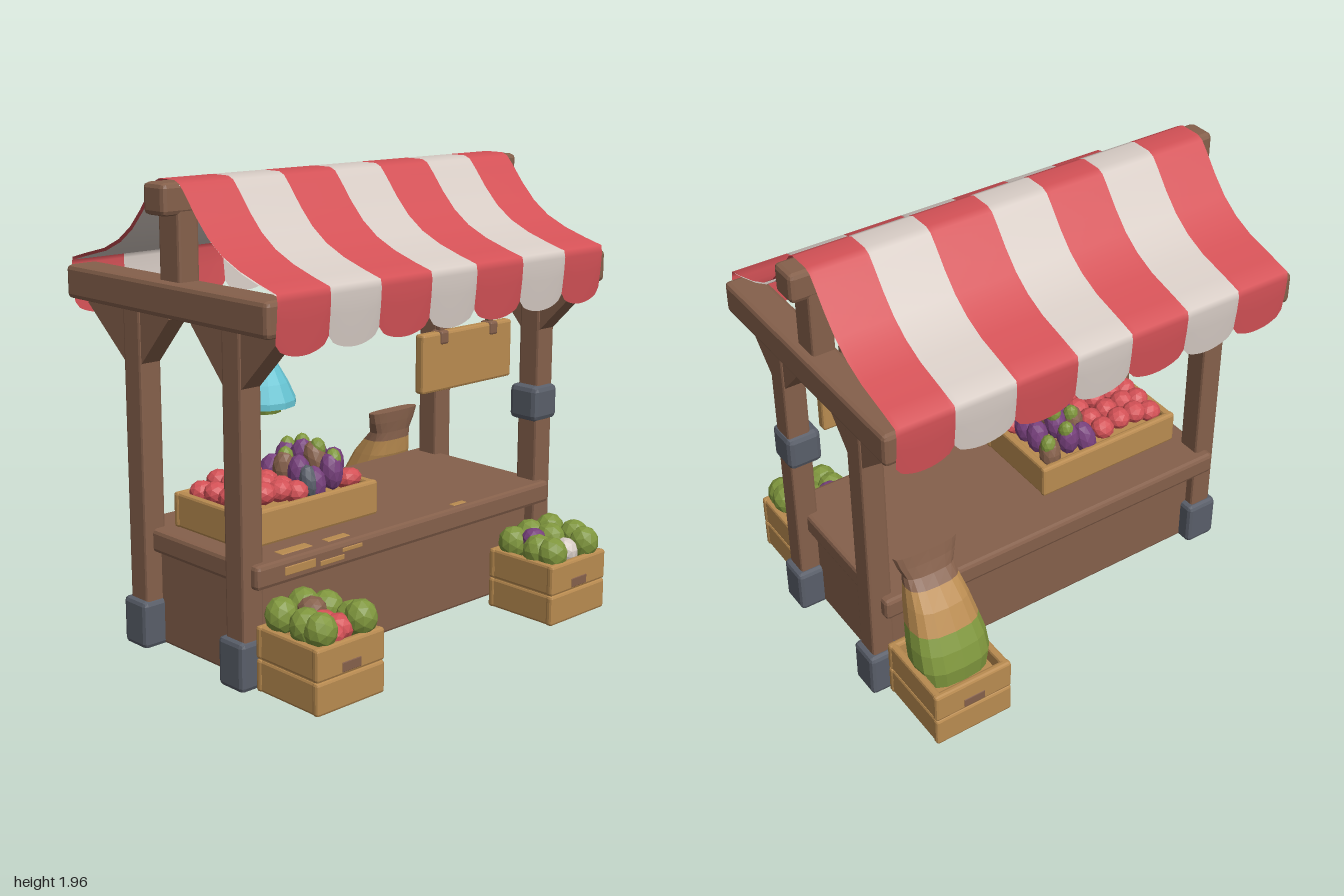
import * as THREE from 'three';
import { RoundedBoxGeometry } from 'three/addons/geometries/RoundedBoxGeometry.js';

const mat = (name, color, extra = {}) => Object.assign(new THREE.MeshStandardMaterial({ color, ...extra }), { name });

export function createModel() {
  const root = new THREE.Group();
  root.name = 'marketStall';
  const both = { side: THREE.DoubleSide };
  const wood = mat('brown wood', 0x85604b, both);
  const tan = mat('tan wood', 0xb98b50, both);
  const red = mat('red cloth', 0xd35156, both);
  const cream = mat('cream cloth', 0xd6cbc4, both);
  const iron = mat('dark iron', 0x595e69);
  const teal = mat('teal enamel', 0x68c6d5, both);
  const green = mat('leaf green', 0x7f963d, both);
  const purple = mat('aubergine purple', 0x77407c);

  const add = (name, geo, material, parent = root) => {
    const m = new THREE.Mesh(geo, material);
    m.name = name;
    parent.add(m);
    return m;
  };
  const flat = (geo) => {
    const g = geo.index ? geo.toNonIndexed() : geo;
    g.computeVertexNormals();
    return g;
  };
  // Chamfered box given by its extents
  const box = (name, material, x0, x1, y0, y1, z0, z1, r = 0.012, parent = root) => {
    const geo = flat(new RoundedBoxGeometry(x1 - x0, y1 - y0, z1 - z0, 1, r));
    const m = add(name, geo, material, parent);
    m.position.set((x0 + x1) / 2, (y0 + y1) / 2, (z0 + z1) / 2);
    return m;
  };
  // Small seeded generator for the produce
  let seed = 7;
  const rnd = () => (seed = (seed * 16807) % 2147483647) / 2147483647;

  // Counter
  box('counterBody', wood, -0.83, 0.82, 0.005, 0.42, -0.3, 0.33);
  box('counterTop', wood, -0.87, 0.86, 0.41, 0.51, -0.39, 0.425, 0.018);
  for (const [x, y, w, h] of [[-0.65, 0.462, 0.16, 0.036], [-0.48, 0.45, 0.13, 0.022], [-0.37, 0.478, 0.11, 0.018]])
    box('wornPatch', tan, x - w / 2, x + w / 2, y - h / 2, y + h / 2, 0.42, 0.428, 0.003);
  for (const [x, z, w, d] of [[-0.62, 0.35, 0.16, 0.05], [-0.4, 0.36, 0.12, 0.04], [0.3, 0.38, 0.08, 0.03]])
    box('wornPatch', tan, x - w / 2, x + w / 2, 0.506, 0.513, z - d / 2, z + d / 2, 0.003);

  // Timber frame: posts, iron feet, gusset braces, gable beams, king posts
  const gusset = (z, inner, outer) => {
    const s = new THREE.Shape([[z - 0.05, 1.2], [z + 0.05, 1.2], [outer, 1.41], [outer, 1.45], [inner, 1.45], [inner, 1.41]]
      .map(([a, b]) => new THREE.Vector2(-a, b)));
    const g = new THREE.ExtrudeGeometry(s, { depth: 0.09, bevelEnabled: false });
    g.rotateY(Math.PI / 2);
    return g;
  };
  for (const s of [-1, 1]) {
    for (const z of [0.33, -0.29]) {
      const cx = s * 0.857;
      box('post', wood, cx - 0.052, cx + 0.052, 0.01, 1.46, z - 0.056, z + 0.056);
      box('postFoot', iron, cx - 0.075, cx + 0.078, 0, 0.205, z - 0.08, z + 0.068, 0.02);
      const span = z > 0 ? [0.09, 0.59] : [-0.59, -0.05];
      add('brace', gusset(z, span[0], span[1]), wood).position.x = cx - 0.045;
    }
    box('gableBeam', wood, s * 0.895 - 0.075, s * 0.895 + 0.075, 1.43, 1.57, -0.645, 0.612, 0.02);
    box('kingPost', wood, s * 0.88 - 0.05, s * 0.88 + 0.05, 1.55, 1.9, -0.065, 0.062);
  }
  box('ridgeBeam', wood, -1, 1, 1.825, 1.95, -0.066, 0.064, 0.02);
  box('postCollar', iron, 0.765, 0.92, 0.79, 0.95, 0.255, 0.41, 0.025);

  // Striped awning: a profile from front hem over the ridge to the rear hem
  const half = [[0.612, 1.41], [0.622, 1.5], [0.626, 1.565], [0.62, 1.595], [0.53, 1.62], [0.42, 1.655], [0.32, 1.7],
    [0.24, 1.757], [0.17, 1.83], [0.11, 1.905], [0.075, 1.945], [0.045, 1.958]];
  const profile = [...half, ...half.map(([z, y]) => [-z - (z > 0.5 ? 0.032 : 0.005), y]).reverse()];
  const sheet = (pts, x0, x1, hem, drop) => {
    const n = pts.length - 1;
    const g = new THREE.PlaneGeometry(1, 1, 12, n);
    const p = g.attributes.position;
    for (let i = 0; i < p.count; i++) {
      const u = p.getX(i) + 0.5;
      const j = Math.round((p.getY(i) + 0.5) * n);
      let [z, y] = pts[j];
      const end = Math.min(j, n - j);
      if (hem && end < 2) y -= (end === 0 ? 0.056 : 0.02) * Math.sqrt(Math.sin(Math.PI * Math.min(Math.max(u, 0), 1)) + 1e-6);
      p.setXYZ(i, x0 + (x1 - x0) * u, y - drop, z);
    }
    g.computeVertexNormals();
    return g;
  };
  const edges = [-0.93, -0.67, -0.41, -0.135, 0.125, 0.405, 0.675, 0.925];
  for (let i = 0; i < 7; i++)
    add('awningStripe', sheet(profile, edges[i], edges[i + 1], true, 0), i % 2 ? cream : red);
  add('awningLining', sheet(profile.slice(3, -3), -0.92, 0.915, false, 0.012), cream);

  // Hanging lamp
  const lamp = new THREE.Group();
  lamp.name = 'hangingLamp';
  lamp.position.set(-0.5, 0, 0.04);
  root.add(lamp);
  const shade = [[0.132, 1.025], [0.132, 1.05], [0.1, 1.12], [0.06, 1.19], [0.045, 1.225], [0.0, 1.235]];
  add('lampShade', flat(new THREE.LatheGeometry(shade.map(([r, y]) => new THREE.Vector2(r, y)), 12)), teal, lamp);
  add('lampBulb', flat(new THREE.CylinderGeometry(0.085, 0.07, 0.05, 10)), green, lamp).position.y = 1.02;
  add('lampRod', flat(new THREE.CylinderGeometry(0.014, 0.022, 0.15, 6)), iron, lamp).position.y = 1.29;

  // Hanging sign board
  box('signBoard', tan, 0.21, 0.78, 0.98, 1.24, 0.2, 0.25, 0.012);
  for (const x of [0.34, 0.655]) {
    box('signStrap', wood, x - 0.013, x + 0.013, 1.2, 1.35, 0.21, 0.24, 0.006);
    box('signClasp', wood, x - 0.025, x + 0.025, 1.185, 1.245, 0.193, 0.257, 0.01);
  }

  // Open crates made of two courses of slats
  const crate = (name, x0, x1, y0, h, z0, z1, courses, handle) => {
    const g = new THREE.Group();
    g.name = name;
    root.add(g);
    const t = 0.035;
    for (let i = 0; i < courses; i++) {
      const a = y0 + (h * i) / courses, b = y0 + (h * (i + 1)) / courses;
      for (const z of [z0, z1 - t]) box('crateSlat', tan, x0, x1, a, b, z, z + t, 0.012, g);
      for (const x of [x0 + 0.004, x1 - t - 0.004]) box('crateSlat', tan, x, x + t, a, b, z0 + 0.01, z1 - 0.01, 0.012, g);
    }
    box('crateFloor', tan, x0 + 0.01, x1 - 0.01, y0 + 0.002, y0 + h * 0.75, z0 + 0.01, z1 - 0.01, 0.01, g);
    const cx = (x0 + x1) / 2;
    if (handle) for (const z of [z0 - 0.003, z1 - 0.005])
      box('crateHandle', wood, cx - 0.05, cx + 0.05, y0 + 0.148, y0 + 0.188, z, z + 0.008, 0.003, g);
    return g;
  };
  const frontA = crate('frontRightCrate', -0.865, -0.51, 0, 0.27, 0.4, 0.755, 2, true);
  const frontB = crate('frontLeftCrate', 0.485, 0.85, 0, 0.27, 0.4, 0.762, 2, true);
  crate('rearCrate', 0.49, 0.858, 0, 0.27, -0.752, -0.37, 2, true);
  const display = crate('counterCrate', -0.785, -0.055, 0.51, 0.15, -0.205, 0.25, 1, false);

  // Produce: faceted lumps
  const veg = (name, material, parent, x, y, z, rx, ry, tilt = 0.5) => {
    const m = add(name, flat(new THREE.IcosahedronGeometry(1, 1)), material, parent);
    m.scale.set(rx, ry, rx);
    m.position.set(x, y, z);
    m.rotation.set((rnd() - 0.5) * tilt, rnd() * 6, (rnd() - 0.5) * tilt);
  };
  for (let i = 0; i < 4; i++)
    for (let j = 0; j < 4; j++)
      veg('tomato', red, display, -0.7 + i * 0.088, 0.66 + rnd() * 0.02 + (i % 3 ? 0.018 : 0), -0.12 + j * 0.093, 0.054, 0.048);
  for (let i = 0; i < 3; i++)
    for (let j = 0; j < 4; j++) {
      const x = -0.33 + i * 0.095, z = -0.13 + j * 0.095;
      const y = 0.675 + (i === 1 ? 0.04 : 0) + (j % 3 ? 0.03 : 0);
      if (j === 3 && i === 2) veg('tomato', red, display, x, 0.665, z, 0.06, 0.045);
      else {
        const leafy = (i * 2 + j) % 3 === 1;
        veg(leafy ? 'squash' : 'aubergine', leafy ? wood : purple, display, x, y, z, 0.05, 0.082);
        if (leafy || i === 1) veg('leafTop', green, display, x + 0.01, y + 0.045, z, 0.035, 0.05);
        else if (j === 3) veg('darkAubergine', iron, display, x - 0.03, y + 0.02, z, 0.04, 0.07);
      }
    }
  for (const [g, x0] of [[frontA, -0.688], [frontB, 0.668]]) {
    for (const [dx, dz] of [[-0.11, -0.1], [0.02, -0.12], [0.11, -0.08], [-0.11, 0.04], [0.11, 0.06], [-0.1, 0.11], [0.1, 0.12]])
      veg('cabbage', green, g, x0 + dx, 0.29 + rnd() * 0.03, 0.58 + dz, 0.068, 0.075);
    if (g === frontA) {
      veg('tomato', red, g, x0 + 0.02, 0.285, 0.66, 0.062, 0.055);
      veg('tomato', red, g, x0 - 0.04, 0.28, 0.69, 0.05, 0.045);
      veg('tomato', red, g, x0, 0.29, 0.59, 0.065, 0.05);
      veg('potato', wood, g, x0 + 0.01, 0.325, 0.52, 0.06, 0.05);
    } else {
      veg('turnip', cream, g, x0 + 0.01, 0.28, 0.675, 0.055, 0.06);
      veg('cabbage', green, g, x0 + 0.02, 0.31, 0.58, 0.07, 0.075);
      veg('redCabbage', purple, g, x0 - 0.07, 0.325, 0.56, 0.055, 0.05);
    }
  }

  // Leaning sack, lofted through rings of [y, z centre, half width, half depth]
  const rings = [[0.2, -0.555, 0.155, 0.115], [0.28, -0.55, 0.168, 0.125], [0.36, -0.53, 0.165, 0.12], [0.43, -0.5, 0.152, 0.112],
    [0.52, -0.46, 0.135, 0.1], [0.59, -0.425, 0.12, 0.07], [0.63, -0.405, 0.115, 0.048], [0.68, -0.393, 0.135, 0.04], [0.73, -0.385, 0.15, 0.034]];
  const band = (name, list, material, cap) => {
    const n = 16, pos = [], idx = [];
    const sq = (v) => Math.sign(v) * Math.sqrt(Math.abs(v)) * 0.55 + v * 0.45;
    for (const [y, z, w, d] of list)
      for (let k = 0; k < n; k++) {
        const a = (k / n) * Math.PI * 2;
        pos.push(0.668 + sq(Math.cos(a)) * w, y, z + sq(Math.sin(a)) * d);
      }
    for (let r = 0; r < list.length - 1; r++)
      for (let k = 0; k < n; k++) {
        const a = r * n + k, b = r * n + ((k + 1) % n);
        idx.push(a, a + n, b, b, a + n, b + n);
      }
    const top = (list.length - 1) * n;
    if (cap) for (let k = 1; k < n - 1; k++) idx.push(top, top + k + 1, top + k);
    const g = new THREE.BufferGeometry();
    g.setAttribute('position', new THREE.Float32BufferAttribute(pos, 3));
    g.setIndex(idx);
    add(name, flat(g), material);
  };
  band('sackBase', rings.slice(0, 4), green, false);
  band('sackMiddle', rings.slice(3, 6), tan, false);
  band('sackNeck', rings.slice(5), wood, true);

  return root;
}
